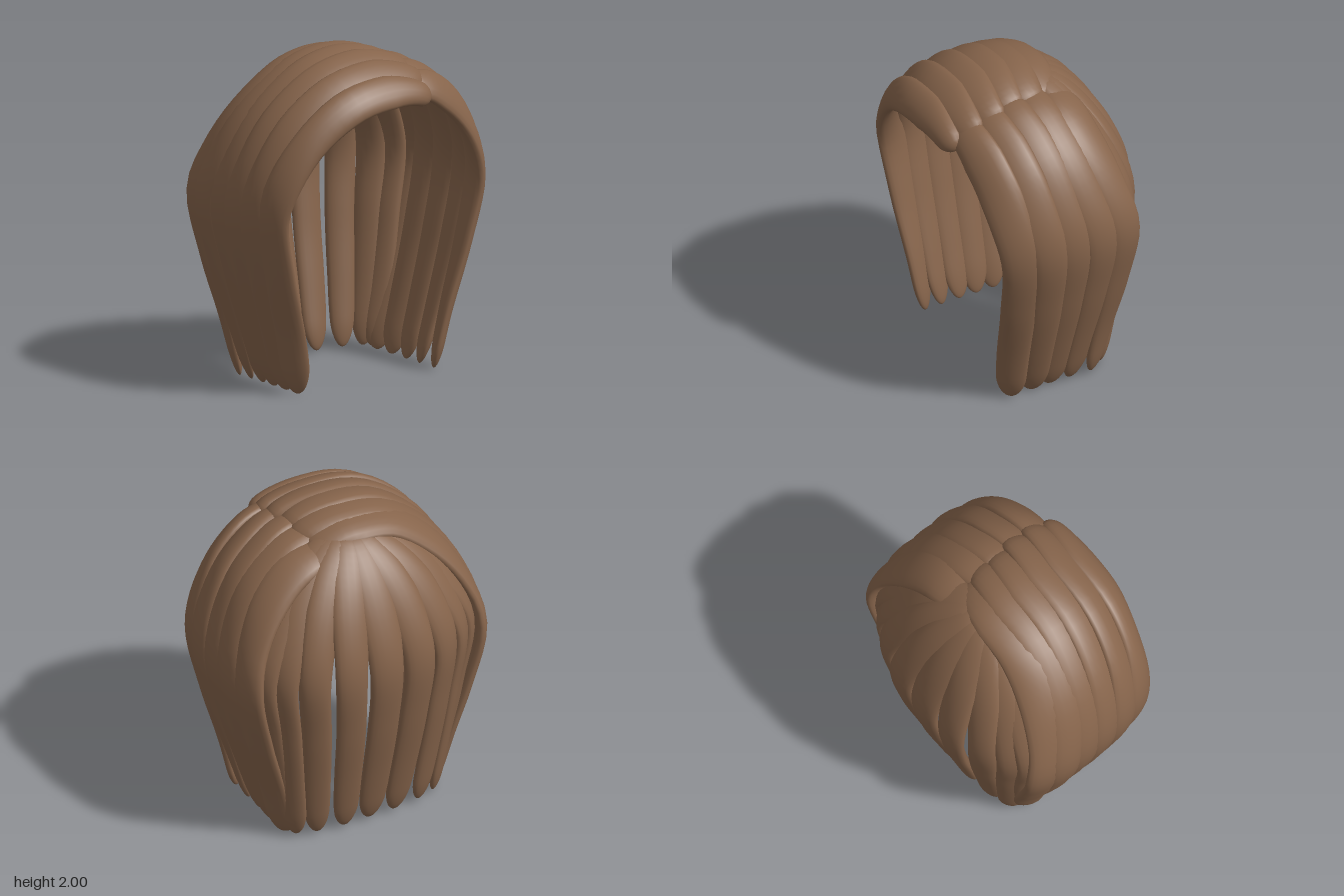
import * as THREE from 'three';

const RINGS = 48, SIDES = 18;
const { lerp, clamp } = THREE.MathUtils;

// Direction pointing away from the head at p
function outward(p) {
  return new THREE.Vector3(
    4 * Math.pow(p.x / 0.85, 3) / 0.85,
    p.y > 1.2 ? (p.y - 1.2) * 3.1 : 0,
    lerp(2.6, 3.6, clamp((p.y - 1.1) / 0.5, 0, 1)) * p.z
  ).normalize();
}

// Piecewise linear lookup in evenly spaced values
function sample(list, t) {
  const f = t * (list.length - 1), i = Math.min(Math.floor(f), list.length - 2);
  return lerp(list[i], list[i + 1], f - i);
}

// Flattened tube along a path, rounded at the root and the tip
function lockGeometry(points, widths, thickness) {
  const curve = new THREE.CatmullRomCurve3(points.map(p => new THREE.Vector3(...p)), false, 'centripetal');
  const pos = [], index = [];
  for (let i = 0; i <= RINGS; i++) {
    const t = 0.5 - 0.5 * Math.cos(Math.PI * i / RINGS);
    const c = curve.getPointAt(t), T = curve.getTangentAt(t), N = outward(c);
    N.addScaledVector(T, -N.dot(T)).normalize();
    const W = new THREE.Vector3().crossVectors(N, T);
    const root = Math.min(1, t / 0.03), tip = Math.min(1, (1 - t) / 0.08);
    const r = Math.sqrt(Math.max(0, 1 - (1 - root) ** 2)) * Math.sqrt(Math.max(0, 1 - (1 - tip) ** 2));
    const w = Math.max(0.001, sample(widths, t) * r);
    const d = Math.max(0.001, thickness * r * (1 - 0.35 * t * t));
    for (let j = 0; j < SIDES; j++) {
      const a = j / SIDES * Math.PI * 2;
      const q = c.clone().addScaledVector(W, w * Math.cos(a)).addScaledVector(N, d * Math.sin(a));
      pos.push(q.x, q.y, q.z);
      if (i < RINGS) {
        const k = i * SIDES, n = (j + 1) % SIDES;
        index.push(k + j, k + n, k + SIDES + j, k + n, k + SIDES + n, k + SIDES + j);
      }
    }
  }
  const g = new THREE.BufferGeometry();
  g.setAttribute('position', new THREE.Float32BufferAttribute(pos, 3));
  g.setIndex(index);
  g.computeVertexNormals();
  return g;
}

// Side lock: a profile in x and y, drifting in z from the parting to the tip
function sidePath(profile, zTop, zMid, zTip) {
  const rise = (1.95 - 0.68 * (zTop - 0.1) ** 2 - 1.15) / 0.8;
  const narrow = 1 - 0.3 * Math.max(0, Math.abs(zMid) - 0.2);
  return profile.map(([x, y]) => {
    const z = y > 1.1 ? lerp(zMid, zTop, clamp((y - 1.1) / 0.8, 0, 1)) : lerp(zTip, zMid, y / 1.1);
    return [x * (y < 0.2 || y > 1.75 ? 1 : narrow), y > 1.15 ? 1.15 + (y - 1.15) * rise : y, z];
  });
}

export function createModel() {
  const group = new THREE.Group();
  const brown = new THREE.MeshStandardMaterial({ color: 0x86644b });
  brown.name = 'brown hair';
  const add = (name, geometry) => {
    const mesh = new THREE.Mesh(geometry, brown);
    mesh.name = name;
    group.add(mesh);
  };

  // Long locks swept from the parting over the top to the right side:
  // z at the top, the bulge and the tip, then x of the root and relative width
  const rightProfile = [[0, 1.945], [-0.3, 1.89], [-0.575, 1.68], [-0.74, 1.4],
    [-0.797, 1.14], [-0.72, 0.75], [-0.605, 0.35], [-0.5, 0.005]];
  [[0.56, 0.39, 0.31, 0.28, 0.8], [0.45, 0.25, 0.2, 0.31, 1], [0.31, 0.1, 0.08, 0.31, 1],
    [0.17, -0.05, -0.03, 0.28, 1], [0.03, -0.2, -0.14, 0.28, 1], [-0.1, -0.33, -0.25, 0.24, 1]
  ].forEach(([zTop, zMid, zTip, x, size], i) => {
    const profile = [[x, 1.84], [x - 0.08, 1.9], ...rightProfile];
    const top = [0.09, 0.14, 0.14, 0.13].map(w => w * size);
    add('rightLock' + (i + 1), lockGeometry(sidePath(profile, zTop, zMid, zTip),
      [...top, 0.115, 0.108, 0.102, 0.094, 0.085], 0.052));
  });

  // Shorter locks falling from the parting to the left side, the last number being x of the root
  const leftProfile = [[0.36, 1.84], [0.59, 1.67], [0.74, 1.41],
    [0.797, 1.15], [0.72, 0.75], [0.605, 0.35], [0.5, 0.005]];
  [[0.47, 0.37, 0.31, 0.2], [0.33, 0.2, 0.17, 0.2], [0.18, 0.03, 0.04, 0.2], [0.03, -0.15, -0.1, 0.14],
    [-0.15, -0.32, -0.24, 0.06]].forEach(([zTop, zMid, zTip, x], i) => {
    add('leftLock' + (i + 1), lockGeometry(sidePath([[x, 1.88], ...leftProfile], zTop, zMid, zTip),
      [0.1, 0.13, 0.13, 0.122, 0.115, 0.11, 0.102, 0.094, 0.085], 0.052));
  });

  // Back locks fanned out from the crown: x and z at the bulge, x and z at the tip
  const backLock = (name, xm, zm, xb, zb, size) => {
    const path = [[0, 1.87], [0.2, 1.87], [0.53, 1.735], [0.84, 1.48], [1, 1.2]]
      .map(([f, y]) => [xm * f, y, -0.1 + (zm + 0.1) * f]);
    [[0.28, 0.2, 0.8], [0.62, 0.6, 0.4], [1, 1, 0.02]].forEach(([fx, fz, y]) => {
      path.push([lerp(xm, xb, fx), y, lerp(zm, zb, fz)]);
    });
    const widths = [0.11, 0.13, 0.13, 0.114, 0.106, 0.102, 0.099, 0.092, 0.076];
    add(name, lockGeometry(path, widths.map(w => w * size), 0.05));
  };
  backLock('backLockCentre', 0, -0.592, 0, -0.38, 1);
  [[0.228, -0.578, 0.165, -0.38, 0.94], [0.437, -0.51, 0.34, -0.36, 0.88], [0.59, -0.41, 0.46, -0.32, 0.88],
    [0.68, -0.33, 0.49, -0.27, 0.9]].forEach(([xm, zm, xb, zb, size], i) => {
    backLock('backLockLeft' + (i + 1), xm, zm, xb, zb, size);
    backLock('backLockRight' + (i + 1), -xm, zm, -xb, zb, size);
  });

  return group;
}
